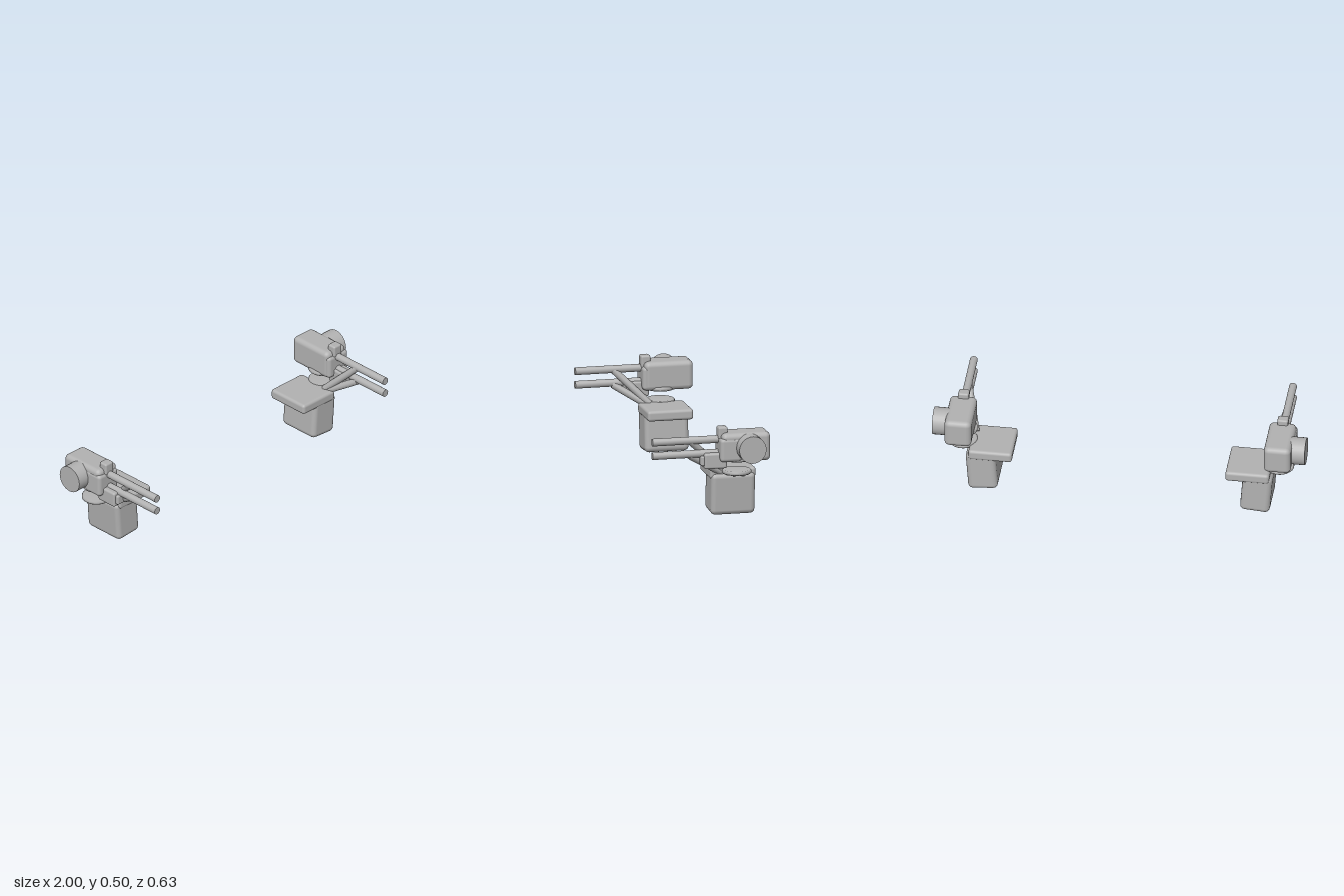
import * as THREE from 'three';
import { RoundedBoxGeometry } from 'three/addons/geometries/RoundedBoxGeometry.js';

const grey = new THREE.MeshStandardMaterial({ color: 0xb2b2b2 });
grey.name = 'grey metal';

// Builds one gun mount; s = 1 for the left (+x) side, -1 for the right side.
function createMount(s) {
  const mount = new THREE.Group();
  mount.name = s > 0 ? 'leftMount' : 'rightMount';

  function add(name, geometry) {
    const mesh = new THREE.Mesh(geometry, grey);
    mesh.name = name;
    mount.add(mesh);
    return mesh;
  }

  // Bevelled box given by its low and high limits on each axis
  function block(name, [x0, x1], [y0, y1], [z0, z1], bevel) {
    const mesh = add(name, new RoundedBoxGeometry(x1 - x0, y1 - y0, z1 - z0, 2, bevel));
    mesh.position.set(s * (x0 + x1) / 2, (y0 + y1) / 2, (z0 + z1) / 2);
    return mesh;
  }

  // Round bar between two points
  function rod(name, a, b, radius, sides = 24) {
    const from = new THREE.Vector3(s * a[0], a[1], a[2]);
    const to = new THREE.Vector3(s * b[0], b[1], b[2]);
    const dir = to.clone().sub(from);
    const mesh = add(name, new THREE.CylinderGeometry(radius, radius, dir.length(), sides));
    mesh.position.copy(from).add(to).multiplyScalar(0.5);
    mesh.quaternion.setFromUnitVectors(new THREE.Vector3(0, 1, 0), dir.normalize());
    return mesh;
  }

  // Disc with rounded rim
  function disc(name, y, radius, thickness) {
    const h = thickness / 2, c = h * 0.5;
    const profile = [[0, -h], [radius - c, -h], [radius, -c], [radius, c], [radius - c, h], [0, h]]
      .map(([r, py]) => new THREE.Vector2(r, py));
    const mesh = add(name, new THREE.LatheGeometry(profile, 32));
    mesh.position.set(s * 0.85, y, -0.148);
  }

  // Leaning pedestal box with the shelf plate on top
  const base = block('pedestal', [0.657, 0.817], [0.007, 0.237], [-0.261, -0.019], 0.027);
  base.rotation.z = -s * 0.075;
  block('shelf', [0.573, 0.808], [0.2, 0.257], [-0.265, -0.014], 0.016);

  // Turntable discs and the bolts below the lower one
  disc('lowerTurntable', 0.251, 0.078, 0.022);
  disc('upperTurntable', 0.325, 0.078, 0.022);
  for (let i = 0; i < 6; i++) {
    const a = i * Math.PI / 3;
    const x = 0.85 + 0.048 * Math.sin(a), z = -0.148 + 0.048 * Math.cos(a);
    rod('bolt', [x, 0.23, z], [x, 0.245, z], 0.007, 10);
  }

  // Gun housing, mantlet, sight and side drum
  block('housing', [0.785, 0.93], [0.315, 0.472], [-0.317, -0.052], 0.027);
  block('mantlet', [0.79, 0.934], [0.318, 0.447], [-0.16, -0.041], 0.02);
  block('sight', [0.828, 0.886], [0.435, 0.502], [-0.092, -0.04], 0.01);
  rod('drum', [0.88, 0.395, -0.2], [1, 0.395, -0.2], 0.074, 28);

  // Feed box under the barrels, with its front cover
  block('feedBox', [0.825, 0.905], [0.28, 0.365], [-0.083, 0.04], 0.012);
  block('feedCover', [0.838, 0.893], [0.296, 0.35], [0.02, 0.057], 0.009);

  // Stacked barrels and the struts that carry them
  for (const y of [0.433, 0.359]) rod('barrel', [0.857, y, -0.1], [0.857, y, 0.317], 0.0205);
  rod('upperStrut', [0.855, 0.428, 0.106], [0.79, 0.25, -0.075], 0.019);
  rod('lowerStrut', [0.852, 0.35, 0.112], [0.79, 0.236, -0.075], 0.019);

  return mount;
}

export function createModel() {
  const model = new THREE.Group();
  model.name = 'gunMounts';
  model.add(createMount(1), createMount(-1));
  return model;
}
